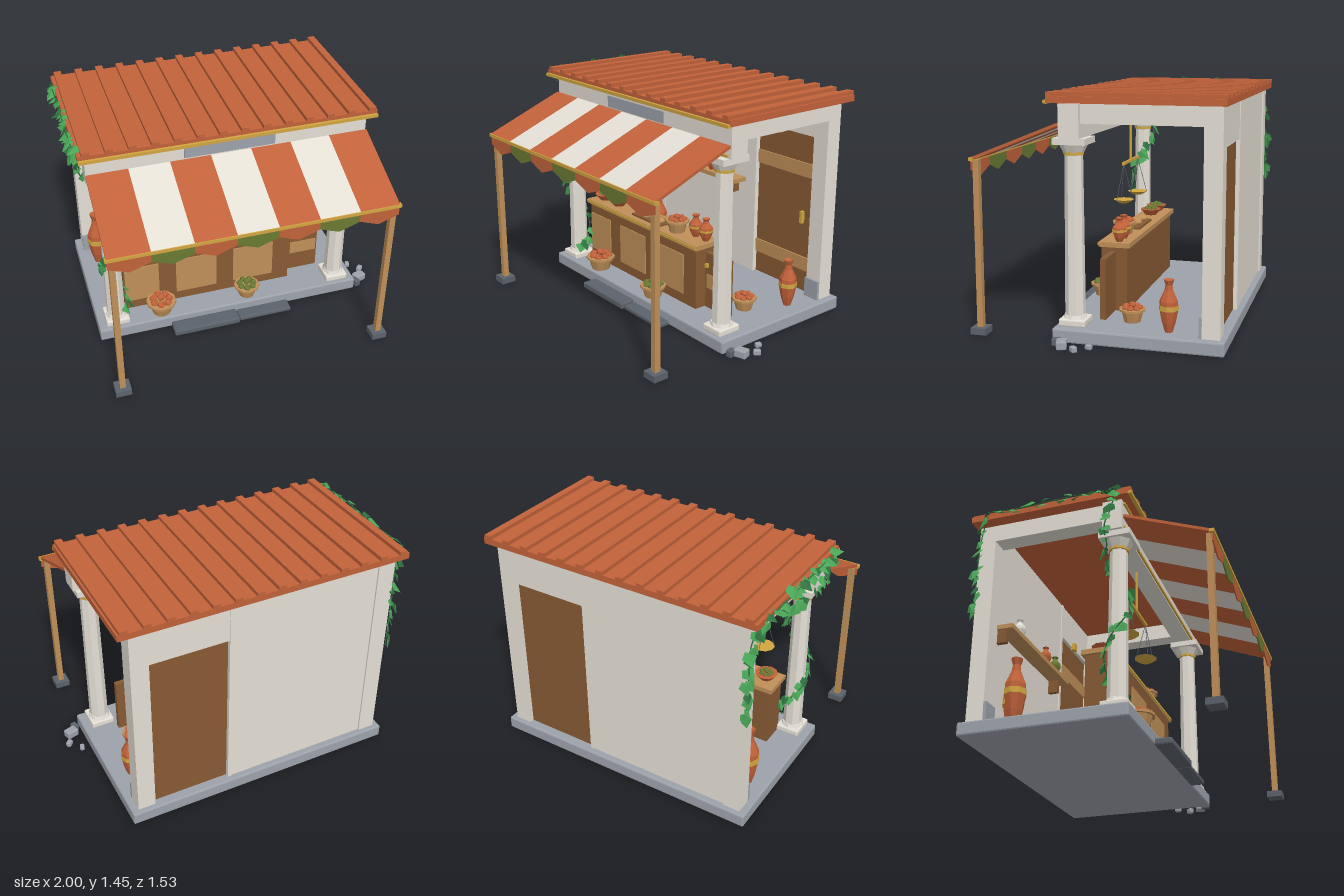
import * as THREE from 'three';
import { RoundedBoxGeometry } from 'three/addons/geometries/RoundedBoxGeometry.js';

const mat = (name, color, side = THREE.FrontSide) => {
  const m = new THREE.MeshStandardMaterial({ color, side, flatShading: true });
  m.name = name;
  return m;
};

export function createModel() {
  const terracotta = mat('terracotta', 0xc2623a, THREE.DoubleSide);
  const plaster = mat('plaster', 0xe4dfd5);
  const stone = mat('stone', 0x9da2ab);
  const darkStone = mat('darkStone', 0x5c626b);
  const gold = mat('gold', 0xd2a640);
  const wood = mat('wood', 0x875a33);
  const paleWood = mat('paleWood', 0xbf8f58);
  const olive = mat('olive', 0x6a7a34, THREE.DoubleSide);
  const leafGreen = mat('leafGreen', 0x4aa557, THREE.DoubleSide);
  const darkLeaf = mat('darkLeaf', 0x2f7340, THREE.DoubleSide);

  const model = new THREE.Group();
  let seed = 7;
  const rnd = () => (seed = (seed * 16807) % 2147483647) / 2147483647;

  const add = (name, geo, m, x = 0, y = 0, z = 0, parent = model) => {
    const mesh = new THREE.Mesh(geo, m);
    mesh.name = name;
    mesh.position.set(x, y, z);
    parent.add(mesh);
    return mesh;
  };
  // Box given by its limits on each axis, with an optional chamfer
  const box = (name, m, x0, x1, y0, y1, z0, z1, bevel = 0) => add(name, bevel
    ? new RoundedBoxGeometry(x1 - x0, y1 - y0, z1 - z0, 1, bevel)
    : new THREE.BoxGeometry(x1 - x0, y1 - y0, z1 - z0), m, (x0 + x1) / 2, (y0 + y1) / 2, (z0 + z1) / 2);
  const cyl = (name, m, rTop, rBot, y0, y1, x, z, sides = 8) => add(name,
    new THREE.CylinderGeometry(rTop, rBot, y1 - y0, sides), m, x, (y0 + y1) / 2, z);
  const C = -0.027; // centre line of the building

  // Platform, steps and rubble
  box('platform', stone, C - 0.88, C + 0.88, 0.008, 0.09, -0.75, 0.25, 0.01);
  box('stepStone', darkStone, -0.44, 0, 0.005, 0.048, 0.245, 0.35, 0.01);
  box('stepStone', darkStone, 0.005, 0.36, 0.005, 0.036, 0.245, 0.335, 0.01);
  [[0.925, 0.165, 0.08, 0.05], [0.968, 0.08, 0.045, 0.035], [0.905, 0.01, 0.04, 0.03], [0.885, 0.21, 0.055, 0.045]]
    .forEach(([x, z, s, h], i) => {
      add('rubble', new RoundedBoxGeometry(s, h, s * 0.75, 1, 0.008), i === 3 ? darkStone : stone, x, h / 2 + 0.003, z)
        .rotation.y = 0.3 + i * 0.5;
    });

  // Back wall, door opening and corner posts
  box('backWall', plaster, -0.80, 0.19, 0.09, 1.375, -0.71, -0.62);
  box('doorJamb', plaster, 0.185, 0.21, 0.09, 1.375, -0.715, -0.612);
  box('doorLintel', plaster, 0.2, 0.71, 1.14, 1.375, -0.71, -0.62);
  box('door', wood, 0.205, 0.71, 0.09, 1.14, -0.69, -0.643);
  for (const y of [0.235, 0.865]) box('doorStrap', paleWood, 0.21, 0.70, y, y + 0.09, -0.645, -0.633);
  box('doorHandle', gold, 0.61, 0.63, 0.555, 0.635, -0.645, -0.617);
  box('doorBracket', gold, 0.4, 0.44, 1.12, 1.17, -0.625, -0.595);
  for (const s of [-1, 1]) {
    const x = C + s * 0.782;
    box('cornerPost', plaster, x - 0.055, x + 0.055, 0.09, 1.375, -0.72, -0.615);
    box('postPlinth', stone, x - 0.055, x + 0.055, 0.09, 0.215, -0.616, -0.597);
    box('sideBeam', plaster, x - 0.055, x + 0.055, 1.265, 1.375, -0.62, 0.1);
  }

  // Front columns
  for (const s of [-1, 1]) {
    const x = C + s * 0.755, z = 0.147;
    box('columnBase', plaster, x - 0.075, x + 0.075, 0.09, 0.132, z - 0.08, z + 0.08, 0.008);
    cyl('columnFoot', plaster, 0.064, 0.072, 0.13, 0.152, x, z);
    cyl('columnShaft', plaster, 0.053, 0.06, 0.15, 1.08, x, z).rotation.y = Math.PI / 8;
    cyl('columnRing', gold, 0.06, 0.06, 1.083, 1.105, x, z, 12);
    cyl('capital', plaster, 0.085, 0.052, 1.08, 1.145, x, z).rotation.y = Math.PI / 8;
    box('abacus', plaster, x - 0.095, x + 0.095, 1.145, 1.182, z - 0.097, z + 0.097);
  }
  box('frontBeam', plaster, C - 0.865, C + 0.865, 1.182, 1.375, 0.08, 0.2);
  for (const y of [1.19, 1.355]) box('beamTrim', gold, C - 0.84, C + 0.84, y, y + 0.014, 0.199, 0.212);
  box('signPanel', stone, -0.31, 0.25, 1.268, 1.34, 0.198, 0.207);

  // Roof with raised seams
  box('roofSlab', terracotta, C - 0.907, C + 0.907, 1.38, 1.418, -0.75, 0.255);
  for (let i = 0; i < 14; i++) {
    const x = -0.888 + i * 0.1333;
    box('roofSeam', terracotta, x - 0.023, x + 0.023, 1.416, 1.441, -0.755, 0.26);
  }
  box('roofTrim', gold, C - 0.907, C + 0.907, 1.376, 1.396, 0.25, 0.272);

  // Striped awning with scalloped edge
  const w = 0.2476, x0 = C - w * 3.5;
  for (let i = 0; i < 7; i++) {
    const x = x0 + (i + 0.5) * w;
    add('awningStripe', new THREE.BoxGeometry(w, 0.018, 0.565), i % 2 ? plaster : terracotta, x, 1.153, 0.473)
      .rotation.x = 0.38;
    const s = new THREE.Shape();
    [[-w / 2, 0], [-w / 2, -0.065], [-w / 4, -0.088], [0, -0.11], [w / 4, -0.088], [w / 2, -0.065], [w / 2, 0]]
      .forEach(([a, b], k) => (k ? s.lineTo(a, b) : s.moveTo(a, b)));
    add('awningScallop', new THREE.ExtrudeGeometry(s, { depth: 0.008, bevelEnabled: false }),
      i % 2 ? olive : terracotta, x, 1.05, 0.725);
  }
  box('awningRod', gold, C - 0.877, C + 0.877, 1.038, 1.058, 0.715, 0.742);
  for (const s of [-1, 1]) {
    const x = C + s * 0.837;
    box('awningPole', paleWood, x - 0.018, x + 0.018, 0.05, 1.045, 0.69, 0.726);
    box('poleFoot', darkStone, x - 0.048, x + 0.048, 0.01, 0.05, 0.66, 0.756);
  }

  // Counter and gate
  box('counter', wood, -0.71, 0.42, 0.09, 0.485, -0.075, 0.085);
  box('counterTop', paleWood, -0.73, 0.435, 0.485, 0.515, -0.095, 0.1);
  box('counterTrim', gold, -0.73, 0.435, 0.495, 0.51, 0.099, 0.106);
  [[-0.70, -0.475], [-0.36, -0.085], [0.03, 0.305]].forEach(([a, b]) =>
    box('counterPanel', paleWood, a, b, 0.155, 0.42, 0.084, 0.092));
  box('gate', wood, 0.44, 0.65, 0.1, 0.465, -0.012, 0.022);
  box('gateStrap', paleWood, 0.455, 0.64, 0.235, 0.325, 0.02, 0.028);
  box('gateKnob', gold, 0.455, 0.472, 0.375, 0.397, 0.02, 0.045);

  // Shelf
  box('shelf', paleWood, -0.77, 0.11, 0.71, 0.738, -0.62, -0.515);
  for (const x of [-0.745, 0.03]) box('shelfBracket', wood, x - 0.014, x + 0.014, 0.625, 0.71, -0.62, -0.555);

  // Pottery: one turned profile, scaled
  const profile = [[0, 0], [0.42, 0], [0.75, 0.2], [1, 0.45], [0.95, 0.6], [0.45, 0.8], [0.36, 0.9], [0.55, 1], [0.36, 0.97], [0, 0.9]];
  const vase = (name, m, x, y, z, r, h, band = true) => {
    const g = new THREE.Group();
    g.name = name;
    g.position.set(x, y, z);
    model.add(g);
    add('body', new THREE.LatheGeometry(profile.map(([a, b]) => new THREE.Vector2(a * r, b * h)), 8), m, 0, 0, 0, g);
    if (band) add('band', new THREE.CylinderGeometry(r * 1.03, r * 1.03, h * 0.09, 8), gold, 0, h * 0.47, 0, g);
  };
  vase('shelfVase', plaster, -0.57, 0.738, -0.565, 0.04, 0.122, false);
  vase('shelfVase', terracotta, -0.17, 0.738, -0.565, 0.04, 0.122, false);
  vase('shelfVase', olive, -0.015, 0.738, -0.565, 0.04, 0.122, false);
  vase('counterVase', terracotta, 0.295, 0.515, -0.02, 0.045, 0.145);
  vase('counterVase', terracotta, 0.39, 0.515, -0.02, 0.045, 0.145);
  vase('amphora', terracotta, 0.73, 0.09, -0.41, 0.056, 0.305);
  vase('amphora', terracotta, -0.78, 0.09, -0.465, 0.065, 0.4);
  vase('amphora', terracotta, -0.70, 0.09, -0.512, 0.064, 0.34);

  // Fruit heaps, baskets and bowls
  const heap = (m, x, y, z, r) => {
    for (let i = 0; i < 8; i++) {
      const a = i * 0.9, d = i ? r * 0.55 : 0;
      add('fruit', new THREE.IcosahedronGeometry(r * 0.28, 0), m,
        x + d * Math.cos(a), y + (i ? 0 : r * 0.2), z + d * Math.sin(a)).rotation.y = a * 3;
    }
  };
  const basket = (m, x, y, z, r, h) => {
    cyl('basket', paleWood, r * 0.88, r * 0.62, y, y + h, x, z, 10);
    cyl('basketRim', paleWood, r, r, y + h * 0.84, y + h, x, z, 10);
    heap(m, x, y + h + r * 0.05, z, r);
  };
  basket(terracotta, -0.485, 0.09, 0.17, 0.098, 0.09);
  basket(olive, 0.1, 0.09, 0.17, 0.085, 0.08);
  basket(terracotta, 0.6, 0.09, -0.16, 0.08, 0.08);
  basket(terracotta, 0.155, 0.515, 0.015, 0.077, 0.08);
  for (const x of [-0.64, -0.48]) {
    cyl('bowl', terracotta, 0.072, 0.038, 0.515, 0.556, x, 0.01, 10);
    heap(olive, x, 0.558, 0.01, 0.058);
  }
  box('breadBoard', wood, -0.265, 0.03, 0.515, 0.528, -0.05, 0.06);
  for (let i = 0; i < 4; i++) {
    add('loaf', new THREE.IcosahedronGeometry(0.04, 1), paleWood, -0.22 + i * 0.068, 0.54, 0.005 + (i % 2) * 0.02)
      .scale.set(0.95, 0.55, 1);
  }

  // Hanging scales
  const sx = -0.38, sz = 0.125;
  box('scaleHanger', gold, sx - 0.007, sx + 0.007, 0.9, 1.185, sz - 0.007, sz + 0.007);
  box('scaleBeam', gold, sx - 0.19, sx + 0.19, 0.895, 0.913, sz - 0.008, sz + 0.008);
  for (const s of [-1, 1]) {
    const x = sx + s * 0.175;
    cyl('scalePan', gold, 0.07, 0.03, 0.64, 0.665, x, sz, 10);
    for (let i = 0; i < 3; i++) {
      const a = i * Math.PI * 2 / 3 + Math.PI / 6;
      const cord = new THREE.LineCurve3(new THREE.Vector3(x, 0.9, sz),
        new THREE.Vector3(x + 0.065 * Math.cos(a), 0.663, sz + 0.065 * Math.sin(a)));
      add('scaleCord', new THREE.TubeGeometry(cord, 1, 0.002, 4), darkStone);
    }
  }

  // Ivy: folded leaves scattered along vines
  const leaf = new THREE.BufferGeometry();
  leaf.setAttribute('position', new THREE.Float32BufferAttribute(
    [0, -1, 0, 0.85, 0.1, -0.2, 0.4, 0.8, -0.1, 0, 0.6, 0.15, -0.4, 0.8, -0.1, -0.85, 0.1, -0.2], 3));
  leaf.setIndex([0, 1, 3, 1, 2, 3, 0, 3, 5, 3, 4, 5]);
  leaf.computeVertexNormals();
  // Leaves face the direction returned by out(point)
  const vine = (points, count, out) => {
    const curve = new THREE.CatmullRomCurve3(points.map((p) => new THREE.Vector3(...p)));
    add('ivyStem', new THREE.TubeGeometry(curve, 32, 0.004, 4), darkLeaf);
    for (let i = 0; i < count; i++) {
      const p = curve.getPointAt((i + 0.5) / count);
      const [nx, ny, nz] = out(p);
      const l = add('ivyLeaf', leaf, i % 4 === 1 ? darkLeaf : leafGreen,
        p.x + nx * 0.012 + (rnd() - 0.5) * 0.03, p.y + (rnd() - 0.5) * 0.04, p.z + nz * 0.012 + (rnd() - 0.5) * 0.03);
      l.lookAt(l.position.x + nx + (rnd() - 0.5) * 0.7, l.position.y + ny + rnd() * 0.6, l.position.z + nz + (rnd() - 0.5) * 0.7);
      l.rotateZ((rnd() - 0.5) * 1.6);
      l.scale.setScalar(0.032 + rnd() * 0.022);
    }
  };
  // Spiral round the column, then up to the roof, along its edge and down the back post
  const colX = C - 0.755, colZ = 0.147, spiral = [];
  for (let i = 0; i <= 14; i++) {
    const y = 0.14 + i * 0.07, a = -(y - 0.2) / 0.67 * Math.PI * 2;
    spiral.push([colX + 0.078 * Math.cos(a), y, colZ + 0.078 * Math.sin(a)]);
  }
  vine(spiral, 26, (p) => [(p.x - colX) * 12, 0.1, (p.z - colZ) * 12]);
  vine([spiral[14], [-0.91, 1.2, 0.1], [-0.92, 1.3, 0.14], [-0.945, 1.4, 0.18]], 8, () => [-1, 0.2, 0.2]);
  vine([[-0.945, 1.41, 0.19], [-0.95, 1.42, -0.1], [-0.945, 1.41, -0.4], [-0.95, 1.42, -0.64]], 18, () => [-0.6, 0.6, 0]);
  vine([[-0.94, 1.4, -0.64], [-0.885, 1.28, -0.7], [-0.88, 1.05, -0.715], [-0.875, 0.75, -0.72]], 13, () => [-0.8, 0, -0.5]);

  return model;
}
